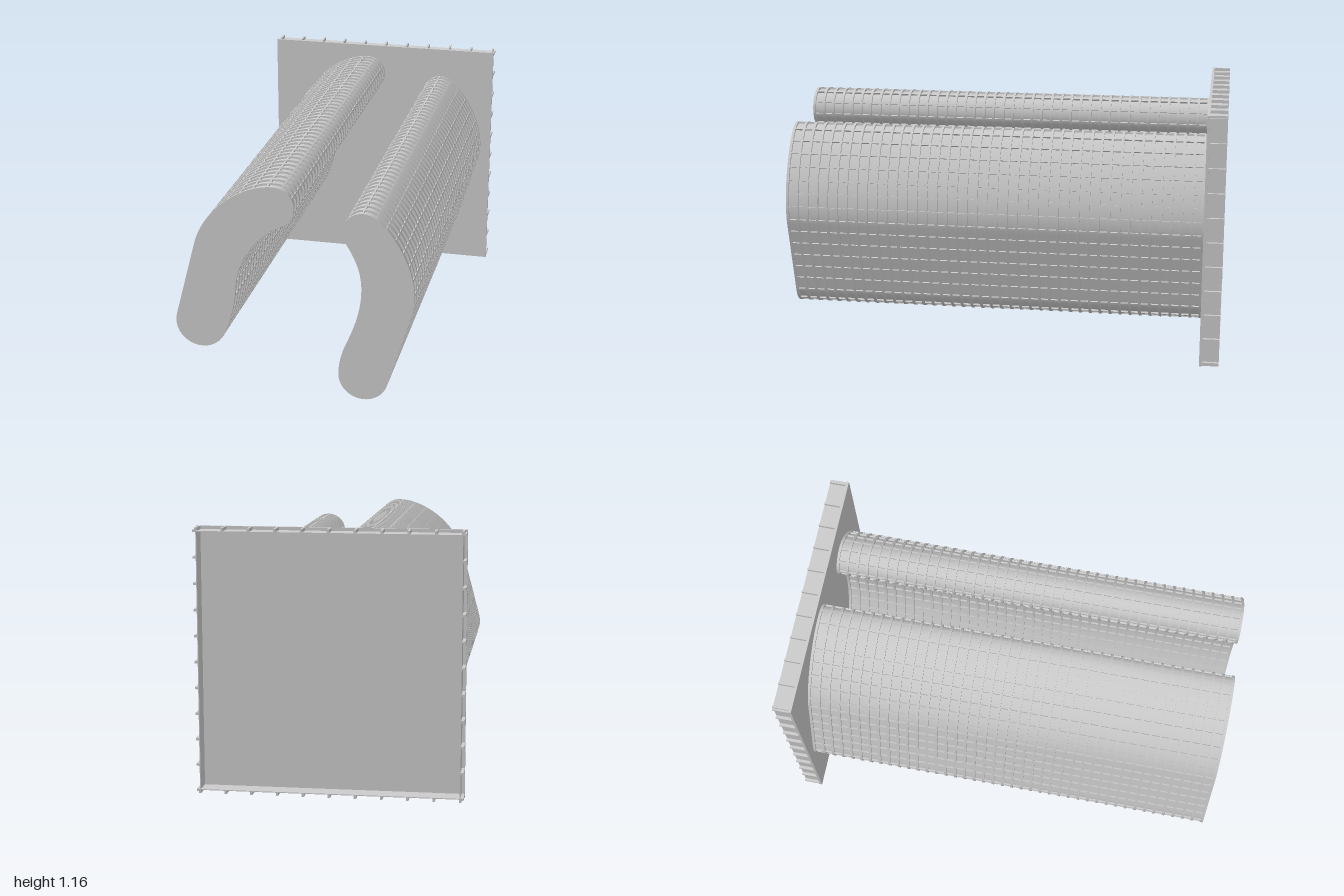
import * as THREE from 'three';
import { toCreasedNormals } from 'three/addons/utils/BufferGeometryUtils.js';

const material = new THREE.MeshStandardMaterial({ color: 0xcccccc });
const rad = THREE.MathUtils.degToRad;

function add(parent, name, geometry, x = 0, y = 0, z = 0) {
  const mesh = new THREE.Mesh(geometry, material);
  mesh.name = name;
  mesh.position.set(x, y, z);
  parent.add(mesh);
  return mesh;
}

// Tower footprint leaning over to the model's left
function hookedFootprint() {
  const s = new THREE.Shape();
  s.moveTo(-0.526, 0.4625);
  s.lineTo(-0.434, 0.808);
  s.bezierCurveTo(-0.39, 0.97, -0.22, 1.096, -0.082, 1.096);
  s.absarc(-0.082, 1.005, 0.091, rad(90), rad(-66), true);
  s.bezierCurveTo(-0.16, 0.87, -0.245, 0.75, -0.255, 0.616);
  s.bezierCurveTo(-0.26, 0.53, -0.285, 0.44, -0.32, 0.37);
  s.absarc(-0.416, 0.433, 0.114, rad(-33), rad(165), true);
  return s;
}

// Tower footprint bowed outwards
function bowedFootprint() {
  const s = new THREE.Shape();
  s.moveTo(0.414, 0.222);
  s.lineTo(0.521, 0.585);
  s.bezierCurveTo(0.55, 0.72, 0.47, 0.9, 0.362, 0.991);
  s.absarc(0.304, 0.922, 0.09, rad(50), rad(215), false);
  s.bezierCurveTo(0.275, 0.8, 0.3, 0.735, 0.298, 0.66);
  s.bezierCurveTo(0.298, 0.56, 0.262, 0.47, 0.227, 0.39);
  s.bezierCurveTo(0.205, 0.335, 0.198, 0.29, 0.198, 0.251);
  s.absarc(0.308, 0.251, 0.11, rad(180), rad(345), false);
  return s;
}

function prism(points, depth) {
  const geometry = new THREE.ExtrudeGeometry(new THREE.Shape(points), { depth, bevelEnabled: false });
  return toCreasedNormals(geometry, 0.5);
}

function buildTower(name, footprint) {
  const tower = new THREE.Group();
  tower.name = name;
  const bottom = -0.912, top = 1, slab = 0.012, floors = 41, inset = 0.009;

  // Evenly spaced outline, counter-clockwise, with outward normals
  const outline = footprint.getSpacedPoints(96).slice(0, 96);
  if (THREE.ShapeUtils.area(outline) < 0) outline.reverse();
  const n = outline.length;
  const normals = outline.map((p, i) => {
    const d = outline[(i + 1) % n].clone().sub(outline[(i + n - 1) % n]).normalize();
    return new THREE.Vector2(d.y, -d.x);
  });

  // Recessed wall
  const wall = outline.map((p, i) => p.clone().addScaledVector(normals[i], -inset));
  add(tower, 'wall', prism(wall, top - bottom - 0.004), 0, 0, bottom);

  // Floor slabs reaching the full outline
  const slabGeometry = prism(outline, slab);
  const pitch = (top - slab - bottom) / floors;
  for (let i = 0; i <= floors; i++) add(tower, 'floorSlab', slabGeometry, 0, 0, bottom + i * pitch);

  // Mullions running the length of the wall
  const mullion = new THREE.BoxGeometry(inset, 0.008, top - bottom - 0.004);
  for (let i = 0; i < n; i += 3) {
    const c = outline[i].clone().addScaledVector(normals[i], -inset * 0.65);
    const bar = add(tower, 'mullion', mullion, c.x, c.y, (top + bottom) / 2 - 0.002);
    bar.rotation.z = normals[i].angle();
  }
  return tower;
}

// Shallow square podium, open at the back
function buildPodium() {
  const podium = new THREE.Group();
  podium.name = 'podium';
  const half = 0.578, slab = 0.012, front = -0.912, back = -1, inset = 0.014, panels = 10;
  const depth = front - slab - back, zMid = back + depth / 2;
  add(podium, 'podiumSlab', new THREE.BoxGeometry(half * 2, half * 2, slab), 0, half, front - slab / 2);

  const wallSpan = 2 * (half - inset);
  const wall = new THREE.BoxGeometry(wallSpan, 0.004, depth);
  const mullion = new THREE.BoxGeometry(0.01, inset, depth);
  for (let k = 0; k < 4; k++) {
    const side = new THREE.Group();
    side.name = 'podiumSide';
    side.position.y = half;
    side.rotation.z = k * Math.PI / 2;
    add(side, 'podiumWall', wall, 0, half - inset - 0.002, zMid);
    for (let i = 0; i <= panels; i++) {
      add(side, 'podiumMullion', mullion, (i / panels - 0.5) * wallSpan, half - inset / 2, zMid);
    }
    podium.add(side);
  }
  return podium;
}

export function createModel() {
  const model = new THREE.Group();
  model.name = 'twinTowers';
  model.add(
    buildPodium(),
    buildTower('hookedTower', hookedFootprint()),
    buildTower('bowedTower', bowedFootprint())
  );
  return model;
}
